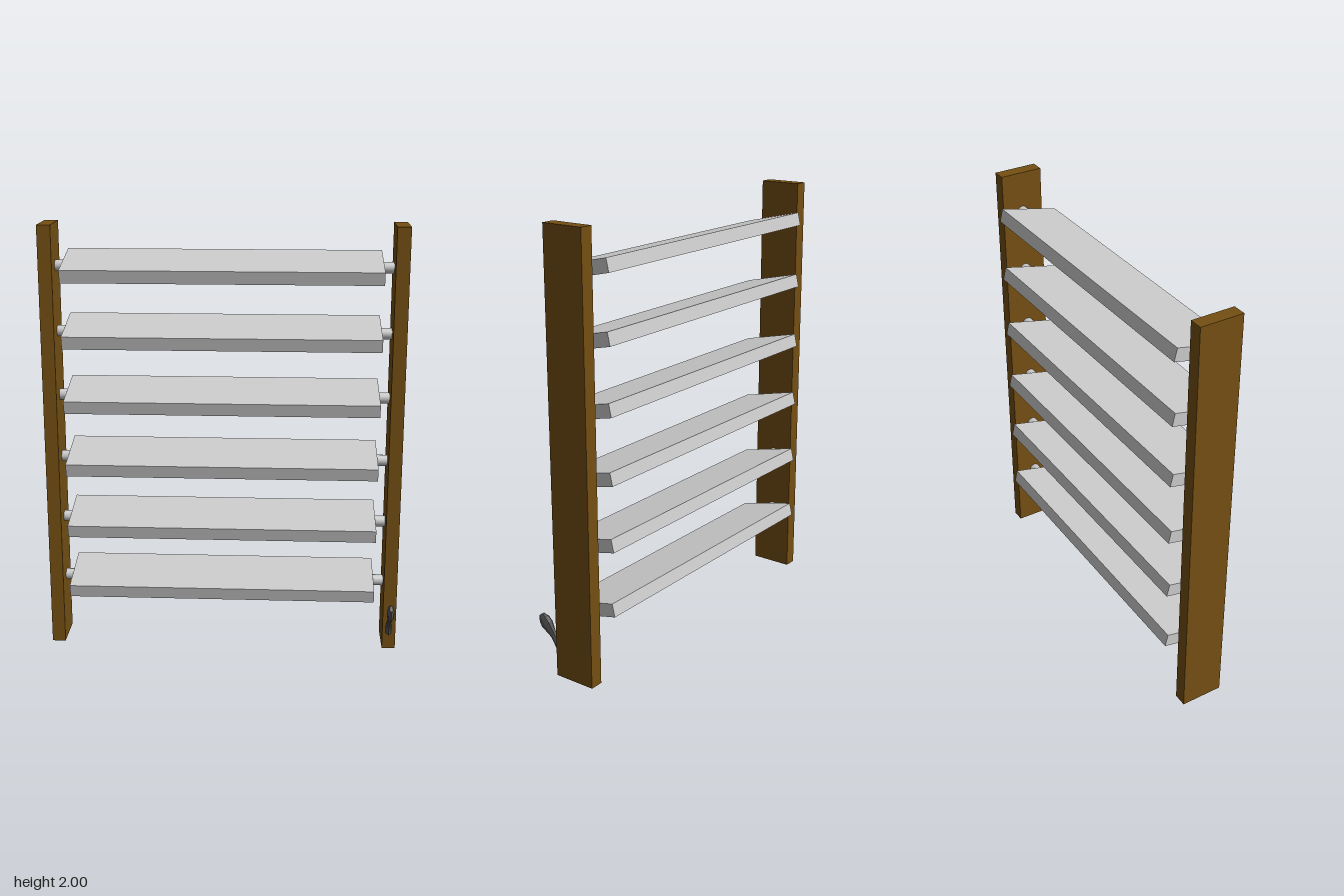
import * as THREE from 'three';

export function createModel() {
  const model = new THREE.Group();
  model.name = 'louverShutter';
  const wood = new THREE.MeshStandardMaterial({ color: 0x744f12 });
  const grey = new THREE.MeshStandardMaterial({ color: 0xcccccc });
  const dark = new THREE.MeshStandardMaterial({ color: 0x585858, flatShading: true });

  const add = (name, geometry, material, x, y, z) => {
    const mesh = new THREE.Mesh(geometry, material);
    mesh.name = name;
    mesh.position.set(x, y, z);
    model.add(mesh);
    return mesh;
  };

  // Upright side posts
  const post = new THREE.BoxGeometry(0.062, 2, 0.2);
  add('leftPost', post, wood, 0.794, 1, -0.045);
  add('rightPost', post, wood, -0.794, 1, -0.045);

  // Tilted slats, each turning on a pin at either end
  const slat = new THREE.BoxGeometry(1.44, 0.061, 0.281);
  const pin = new THREE.CylinderGeometry(0.026, 0.026, 0.09, 16).rotateZ(Math.PI / 2);
  for (let i = 0; i < 6; i++) {
    const y = 0.308 + i * 0.3;
    add('slat', slat, grey, -0.005, y, -0.045).rotation.x = 0.227;
    add('leftPin', pin, grey, 0.735, y, -0.047);
    add('rightPin', pin, grey, -0.735, y, -0.047);
  }

  // Flattened lever with a narrow neck and a faceted head
  const profile = [
    [0, -0.02], [0.034, -0.02], [0.025, 0.02], [0.019, 0.075],
    [0.024, 0.095], [0.036, 0.135], [0.033, 0.16], [0.016, 0.185], [0, 0.185],
  ].map(([r, h]) => new THREE.Vector2(r, h));
  const lever = add('tiltLever', new THREE.LatheGeometry(profile, 8), dark, 0.792, 0.108, 0.05);
  lever.scale.x = 0.5;
  lever.rotation.x = 0.69;

  return model;
}
